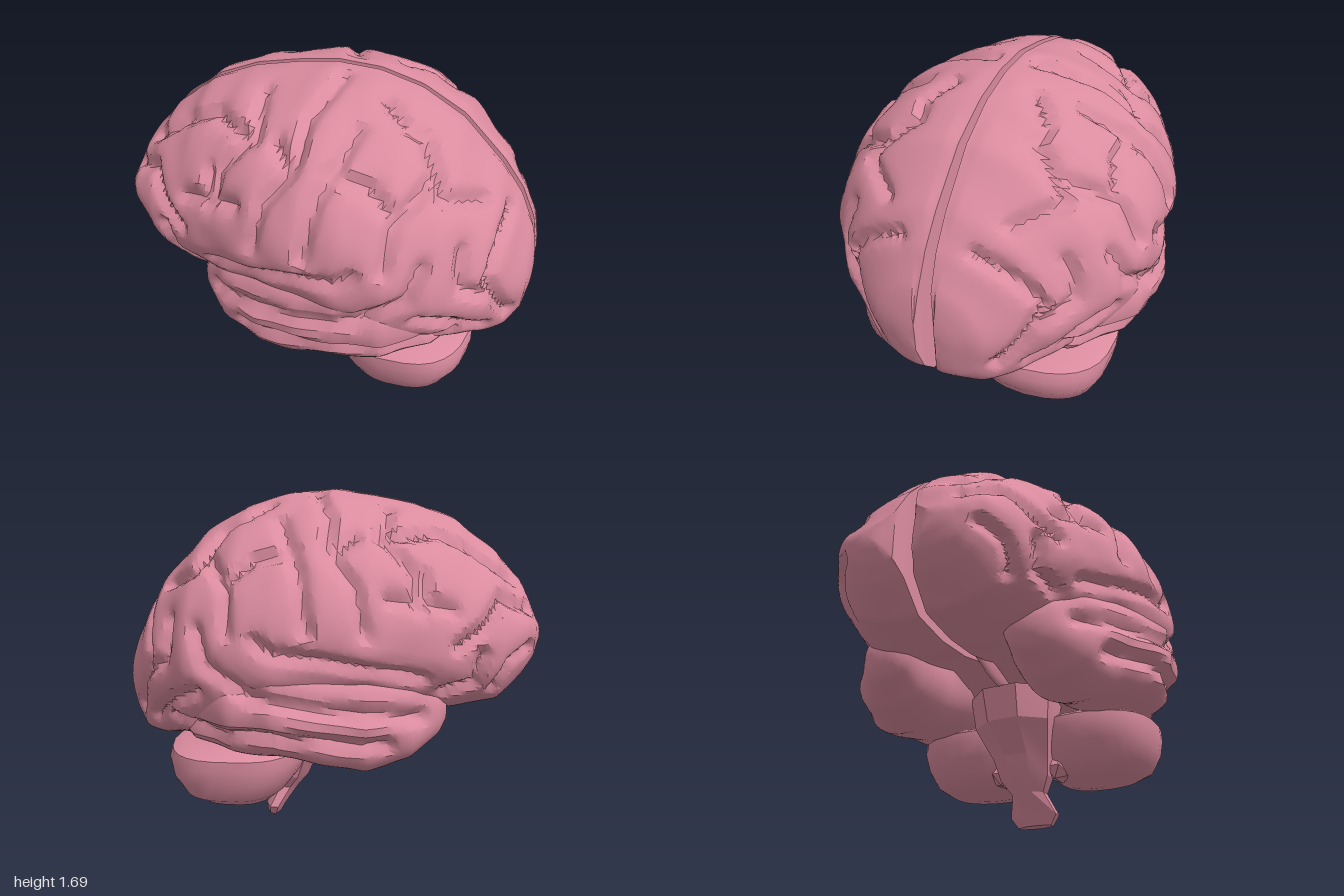
import * as THREE from 'three';
import { toCreasedNormals } from 'three/addons/utils/BufferGeometryUtils.js';

const material = new THREE.MeshStandardMaterial({ color: 0xdb8c9f });

// Hemisphere stations along x: x, top, widest height, bottom, outer z, inner z
const HEMISPHERE = [
  [-1, 1.07, 1.03, 0.98, 0.22, 0.13], [-0.97, 1.14, 1.02, 0.89, 0.32, 0.05],
  [-0.92, 1.25, 1.02, 0.82, 0.39, 0.025], [-0.8, 1.39, 1.0, 0.69, 0.48, 0.02],
  [-0.6, 1.54, 1.0, 0.655, 0.575, 0.02], [-0.4, 1.62, 1.02, 0.66, 0.655, 0.018],
  [-0.2, 1.66, 1.05, 0.7, 0.735, 0.015], [0, 1.685, 1.05, 0.64, 0.775, 0.015],
  [0.2, 1.67, 1.0, 0.56, 0.795, 0.015], [0.4, 1.61, 0.95, 0.52, 0.775, 0.015],
  [0.6, 1.49, 0.92, 0.5, 0.69, 0.018], [0.8, 1.28, 0.86, 0.48, 0.52, 0.022],
  [0.9, 1.14, 0.8, 0.48, 0.37, 0.025], [0.97, 0.98, 0.76, 0.55, 0.25, 0.03],
  [1, 0.8, 0.73, 0.66, 0.12, 0.05],
];
// Temporal lobe stations along x: x, centre y, half height, inner z, outer z
const TEMPORAL = [
  [-0.56, 0.7, 0.06, 0.3, 0.42], [-0.53, 0.7, 0.12, 0.25, 0.49],
  [-0.4, 0.68, 0.2, 0.22, 0.62], [-0.2, 0.68, 0.25, 0.2, 0.72],
  [0, 0.72, 0.25, 0.2, 0.775], [0.2, 0.76, 0.25, 0.2, 0.8],
  [0.4, 0.76, 0.24, 0.2, 0.765], [0.6, 0.74, 0.2, 0.2, 0.6], [0.75, 0.72, 0.1, 0.2, 0.35],
];
// Grooves as flat paths of x, y pairs on the side of the brain
const GROOVES = [
  [0.06, 1.67, -0.02, 1.58, -0.03, 1.45, -0.15, 1.3, -0.2, 1.1],
  [0.2, 1.56, 0.09, 1.35, 0.05, 1.12],
  [-0.28, 1.6, -0.25, 1.5, -0.4, 1.35, -0.42, 1.2],
  [-0.25, 1.48, -0.5, 1.5, -0.67, 1.42, -0.85, 1.28],
  [-0.3, 1.24, -0.45, 1.23, -0.58, 1.18],
  [-0.45, 0.88, -0.2, 0.94, 0, 0.99, 0.2, 1.02, 0.27, 1.07],
  [0.12, 1.44, 0.3, 1.4, 0.42, 1.3, 0.4, 1.1],
  [0.28, 1.61, 0.48, 1.5, 0.6, 1.32, 0.75, 1.25],
  [-0.45, 0.7, -0.3, 0.73, 0, 0.77, 0.3, 0.83, 0.5, 0.95, 0.55, 1.1],
  [-0.3, 0.58, 0, 0.62, 0.25, 0.64, 0.5, 0.63, 0.7, 0.66],
  [0.7, 1.12, 0.72, 0.95, 0.85, 0.85],
  [0.86, 1.15, 0.82, 0.95, 0.92, 0.65],
  [0.55, 0.82, 0.68, 0.76, 0.82, 0.62],
  [-0.94, 0.98, -0.85, 0.92, -0.78, 0.8],
  [-0.72, 0.97, -0.68, 0.84, -0.55, 0.8],
  [-0.93, 1.15, -0.8, 1.22, -0.72, 1.1, -0.6, 1.02],
  [-0.14, 1.5, -0.04, 1.42], [-0.45, 1.33, -0.44, 1.2],
  [0.42, 1.28, 0.52, 1.38],
];

// Linear reading of a station table at x
function stationAt(table, x) {
  let i = 0;
  while (i < table.length - 2 && table[i + 1][0] < x) i++;
  const a = table[i], b = table[i + 1], t = (x - a[0]) / (b[0] - a[0]);
  return a.map((v, k) => THREE.MathUtils.lerp(v, b[k], t));
}

// Skin over closed rings, with a fan at each end
function loft(rings, flip = false) {
  const n = rings[0].length, index = [], points = rings.flat();
  const tri = (a, b, c) => (flip ? index.push(a, c, b) : index.push(a, b, c));
  for (let i = 0; i < rings.length - 1; i++) {
    for (let j = 0; j < n; j++) {
      const k = (j + 1) % n, a = i * n, b = a + n;
      tri(a + j, b + j, b + k);
      tri(a + j, b + k, a + k);
    }
  }
  [rings[0], rings[rings.length - 1]].forEach((ring, end) => {
    const c = points.length, base = end ? (rings.length - 1) * n : 0;
    points.push(ring.reduce((s, p) => s.add(p), new THREE.Vector3()).divideScalar(n));
    for (let j = 0; j < n; j++) {
      const k = (j + 1) % n;
      end ? tri(c, base + k, base + j) : tri(c, base + j, base + k);
    }
  });
  const g = new THREE.BufferGeometry().setFromPoints(points);
  g.setIndex(index);
  g.computeVertexNormals();
  return g;
}

// Press the grooves into a lobe and swell the folds between them
function carve(g, side, width, depth) {
  const pos = g.attributes.position, nor = g.attributes.normal;
  const verts = [], normals = [];
  for (let i = 0; i < pos.count; i++) {
    verts.push(new THREE.Vector3().fromBufferAttribute(pos, i));
    normals.push(new THREE.Vector3().fromBufferAttribute(nor, i));
  }
  const outer = verts.filter((v, i) => normals[i].z * side > 0.05);
  const marks = [];
  for (const path of GROOVES) {
    for (let k = 0; k < path.length - 2; k += 2) {
      const [x0, y0, x1, y1] = path.slice(k, k + 4);
      const steps = Math.ceil(Math.hypot(x1 - x0, y1 - y0) / 0.015);
      for (let s = 0; s <= steps; s++) {
        const x = x0 + (x1 - x0) * s / steps, y = y0 + (y1 - y0) * s / steps;
        let sum = 0, z = 0;
        for (const v of outer) {
          const d = (v.x - x) ** 2 + (v.y - y) ** 2;
          if (d > 0.0016) continue;
          const w = 1 / (d + 0.00005);
          sum += w;
          z += w * v.z;
        }
        if (sum > 0) marks.push(new THREE.Vector3(x, y, z / sum));
      }
    }
  }
  verts.forEach((v, i) => {
    let d = 1;
    for (const m of marks) d = Math.min(d, v.distanceToSquared(m));
    d = Math.sqrt(d);
    let push = -depth * Math.max(0, 1 - d / width);
    if (v.z * side > 0.05) {
      push += 0.01 * Math.min(1, d / 0.1) - 0.006;
      push += 0.006 * Math.sin(17 * v.x + 5 * v.y) * Math.sin(15 * v.y + 9 * v.z * side);
    }
    v.addScaledVector(normals[i], push);
    if (v.z * side < 0.012) v.z = 0.012 * side;
    pos.setXYZ(i, v.x, v.y, v.z);
  });
  return toCreasedNormals(g, 0.55);
}

function hemisphere(side) {
  const rings = [], N = 110, M = 62, K = 12;
  for (let i = 0; i <= N; i++) {
    const u = i / N, x = 0.5 * (2 * u - 1) - 0.5 * Math.cos(Math.PI * u);
    const [, top, mid, bottom, w, inner] = stationAt(HEMISPHERE, x);
    const ring = [];
    for (let j = 0; j <= M; j++) {
      const a = Math.PI * (j / M - 0.5), c = Math.max(0, Math.cos(a));
      const y = mid + Math.sin(a) * (a > 0 ? top - mid : mid - bottom);
      ring.push(new THREE.Vector3(x, y, side * (inner + (w - inner) * c ** (a > 0 ? 1.15 : 0.7))));
    }
    for (let j = 1; j < K; j++) {
      ring.push(new THREE.Vector3(x, THREE.MathUtils.lerp(top, bottom, j / K), side * inner));
    }
    rings.push(ring);
  }
  return carve(loft(rings, side < 0), side, 0.05, 0.04);
}

const power = (v, p) => Math.sign(v) * Math.abs(v) ** p;

function temporalLobe(side) {
  const rings = [], N = 60, M = 56;
  for (let i = 0; i <= N; i++) {
    const x = -0.56 + 1.31 * (i / N) ** 1.2;
    const [, cy, ry, z0, z1] = stationAt(TEMPORAL, x);
    const ring = [];
    for (let j = 0; j < M; j++) {
      const a = (j / M) * Math.PI * 2;
      ring.push(new THREE.Vector3(x, cy + ry * power(Math.sin(a), 0.85),
        side * ((z0 + z1) / 2 + (z1 - z0) / 2 * power(Math.cos(a), 0.75))));
    }
    rings.push(ring);
  }
  return carve(loft(rings, side < 0), side, 0.055, 0.045);
}

// Cerebellar lobe as flat rings from the bottom up: y, back x, front x, inner z, outer z
const CEREBELLUM = [
  [0.215, 0.5, 0.3, 0.16, 0.38], [0.235, 0.62, 0.24, 0.1, 0.5], [0.28, 0.7, 0.19, 0.05, 0.57],
  [0.36, 0.75, 0.13, 0.03, 0.61], [0.44, 0.765, 0.1, 0.02, 0.625], [0.49, 0.75, 0.1, 0.02, 0.625],
  [0.515, 0.69, 0.14, 0.06, 0.58],
];

function cerebellarLobe(side) {
  const rings = CEREBELLUM.map(([y, x1, x0, z0, z1]) => Array.from({ length: 26 }, (_, j) => {
    const a = (j / 26) * Math.PI * 2;
    const out = power(Math.sin(a), 0.75), reach = side > 0 ? 0 : 0.02 * (1 + out);
    // the lobe shortens towards its outer end
    const half = (x1 - x0) / 2 * (1 - 0.12 * Math.max(0, out));
    return new THREE.Vector3((x0 + x1) / 2 + half * power(Math.cos(a), 0.7), y,
      side * ((z0 + z1) / 2 + (z1 - z0) / 2 * out + reach));
  }));
  return toCreasedNormals(loft(rings, side < 0), 0.6);
}

// Brain stem rings from the bottom up: y, centre x, half x, half z
const STEM = [
  [0, 0.31, 0.035, 0.09], [0.05, 0.3, 0.05, 0.125], [0.15, 0.245, 0.065, 0.085],
  [0.22, 0.21, 0.085, 0.13], [0.32, 0.18, 0.1, 0.15], [0.46, 0.1, 0.16, 0.2], [0.62, 0.1, 0.2, 0.22],
];

export function createModel() {
  const group = new THREE.Group();
  const add = (name, geometry) => {
    const mesh = new THREE.Mesh(geometry, material);
    mesh.name = name;
    group.add(mesh);
    return mesh;
  };
  for (const side of [1, -1]) {
    const label = side > 0 ? 'left' : 'right';
    add(label + 'Hemisphere', hemisphere(side));
    add(label + 'TemporalLobe', temporalLobe(side));
    add(label + 'CerebellarLobe', cerebellarLobe(side));
    // Small lobule beside the stem
    const lobule = add(label + 'Lobule', new THREE.IcosahedronGeometry(1, 0));
    lobule.scale.set(0.1, 0.07, 0.07);
    lobule.position.set(0.27, 0.27, 0.15 * side);
  }
  // Bridge between the hemispheres
  const bridge = add('corpusCallosum', new THREE.SphereGeometry(1, 24, 12));
  bridge.scale.set(0.57, 0.33, 0.05);
  bridge.position.set(0.065, 0.93, 0);
  // Middle of the cerebellum
  const vermis = add('vermis', new THREE.SphereGeometry(1, 14, 10));
  vermis.scale.set(0.19, 0.1, 0.08);
  vermis.position.set(0.5, 0.42, 0);
  // Faceted stem
  const rings = STEM.map(([y, cx, rx, rz]) => Array.from({ length: 8 }, (_, j) => {
    const a = ((j + 0.5) / 8) * Math.PI * 2;
    return new THREE.Vector3(cx + rx * Math.cos(a) * 1.08, y, rz * Math.sin(a) * 1.08);
  }));
  add('brainStem', toCreasedNormals(loft(rings), 0.35));
  return group;
}
